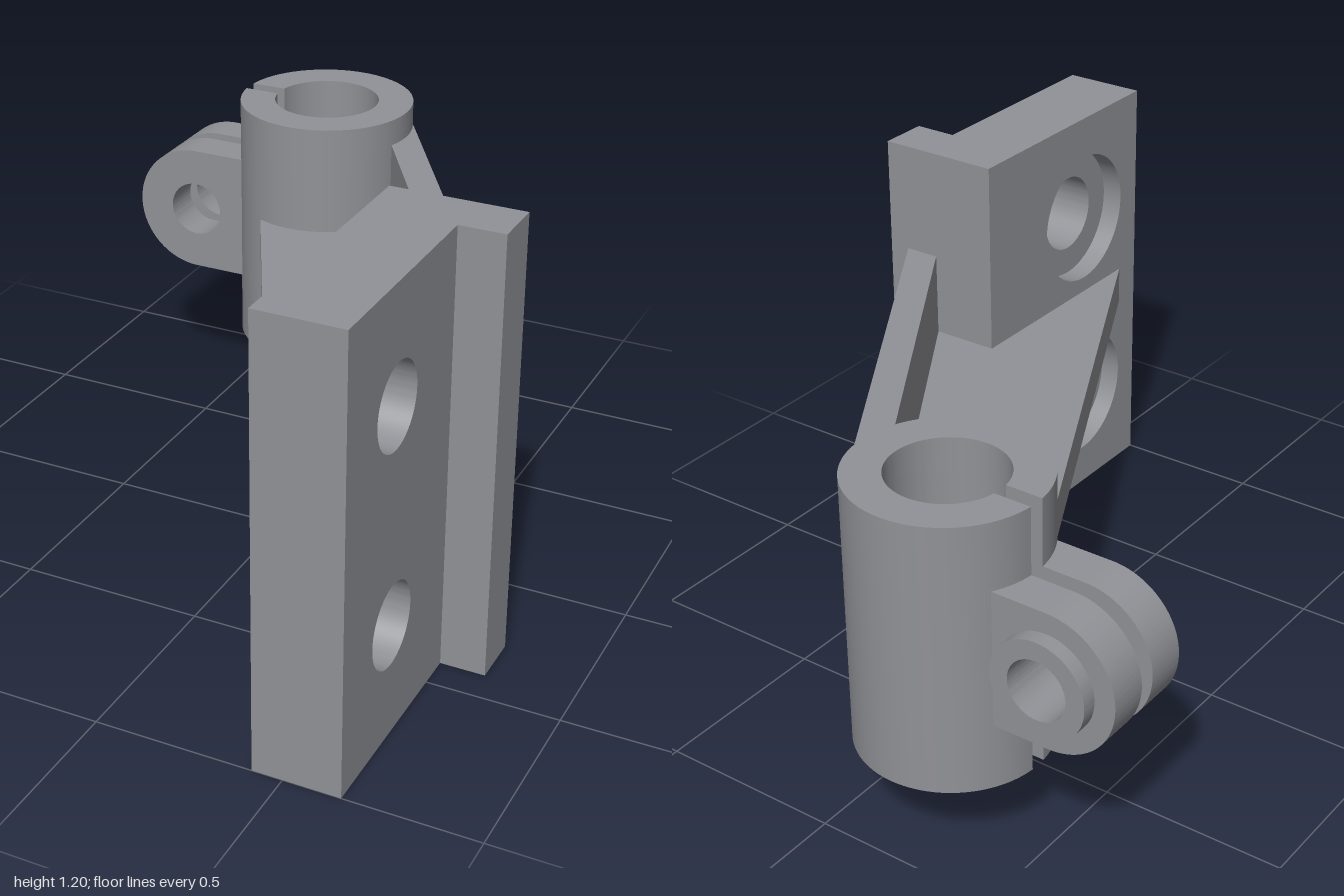
import * as THREE from 'three';
import { toCreasedNormals } from 'three/addons/utils/BufferGeometryUtils.js';

const metal = new THREE.MeshStandardMaterial({ color: 0x919297 });
metal.name = 'grey metal';

export function createModel() {
  const group = new THREE.Group();
  group.name = 'clampBracket';

  const add = (name, geometry) => {
    const mesh = new THREE.Mesh(toCreasedNormals(geometry, 0.6), metal);
    mesh.name = name;
    group.add(mesh);
  };
  const extrude = (shape, depth) =>
    new THREE.ExtrudeGeometry(shape, { depth, bevelEnabled: false, curveSegments: 48 });
  const polygon = (points) => new THREE.Shape(points.map(([x, y]) => new THREE.Vector2(x, y)));
  const hole = (x, y, r) => new THREE.Path().absarc(x, y, r, 0, Math.PI * 2, true);

  // Plan outline (x, -z) raised between two heights
  const raise = (name, shape, y0, y1) =>
    add(name, extrude(shape, y1 - y0).rotateX(-Math.PI / 2).translate(0, y0, 0));
  // Plan outline given as (x, z)
  const plan = (points) => polygon(points.map(([x, z]) => [x, -z]));

  // Mounting plate: through layer, and a counterbored layer on the arm side
  const plateLayer = (name, x0, x1, r) => {
    const s = polygon([[-1, 0], [-0.27, 0], [-0.27, 1.2], [-1, 1.2]]);
    for (const y of [0.31, 0.89]) s.holes.push(hole(-0.73, y, r));
    add(name, extrude(s, x1 - x0).rotateY(Math.PI / 2).translate(x0, 0, 0));
  };
  plateLayer('mountingPlate', 0.48, 0.65, 0.11);
  plateLayer('counterboredLayer', 0.42, 0.48, 0.19);

  // Lip along the rear edge of the plate
  add('plateLip', new THREE.BoxGeometry(0.12, 1.2, 0.14).translate(0.71, 0.6, 0.34));

  // Split sleeve: C-shaped ring with a slot facing -x
  const cx = -0.22, cz = -0.752, R = 0.25, r = 0.15, half = 0.022;
  const a = Math.PI - Math.asin(half / R);
  const b = Math.PI - Math.asin(half / r);
  const ring = new THREE.Shape();
  ring.absarc(cx, -cz, R, -a, a, false);
  ring.absarc(cx, -cz, r, b, -b, true);
  raise('splitSleeve', ring, 0.235, 0.965);

  // Pair of clamp ears with a bolt hole
  const ear = () => {
    const s = new THREE.Shape();
    s.moveTo(-0.4, 0.415);
    s.lineTo(-0.4, 0.785);
    s.lineTo(-0.585, 0.785);
    s.absarc(-0.585, 0.6, 0.185, Math.PI / 2, Math.PI * 1.5, false);
    s.closePath();
    s.holes.push(hole(-0.585, 0.6, 0.08));
    return s;
  };
  add('frontEar', extrude(ear(), 0.11).translate(0, 0, -0.73));
  add('rearEar', extrude(ear(), 0.106).translate(0, 0, -0.88));

  // Raised boss behind the rear ear
  const boss = new THREE.Shape().absarc(-0.585, 0.6, 0.13, 0, Math.PI * 2, false);
  boss.holes.push(hole(-0.585, 0.6, 0.08));
  add('bolt boss', extrude(boss, 0.04).translate(0, 0, -0.92));

  // Arm wall, tangent to the sleeve and running into the lip
  raise('armWall', plan([[-0.08, -0.835], [0.629, 0.3], [0.729, 0.3], [-0.008, -0.882]]), 0.31, 0.89);

  // Horizontal stiffening rib between wall, sleeve and plate
  raise('armRib', plan([
    [-0.32, -0.52], [0.42, 0.92], [0.45, 0.92], [0.45, 0.29], [0.64, 0.29],
    [0.02, -0.7], [-0.15, -0.55],
  ]), 0.545, 0.655);

  return group;
}
